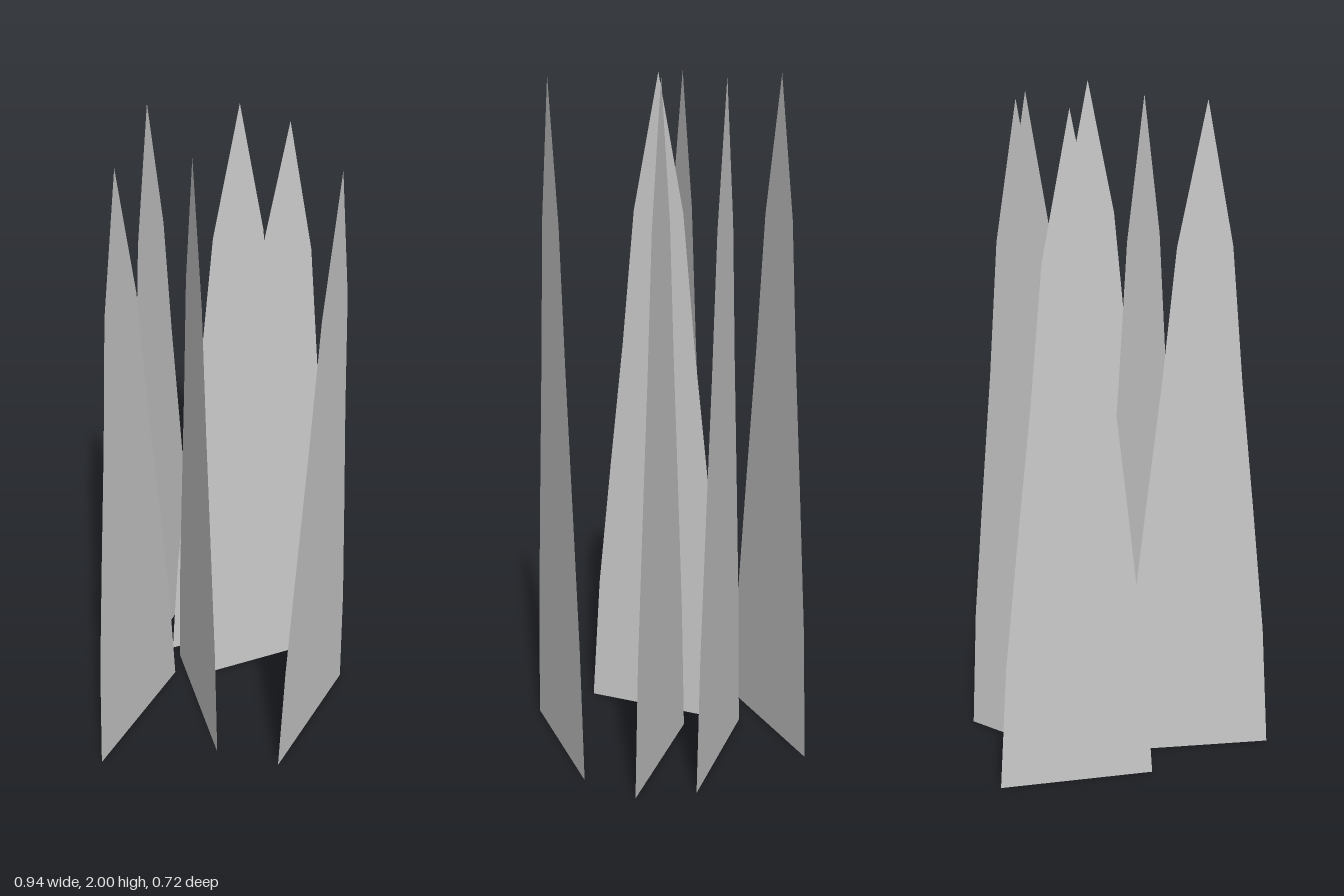
import * as THREE from 'three';

const HALF_WIDTH = 0.232;
const HEIGHT = 2;
// Half-width of a blade, as a share of the base, at even steps of height
const TAPER = [1, 0.886, 0.7, 0.505, 0.34, 0];

// Flat, tapering blade outline standing on y = 0
function bladeGeometry() {
  const side = TAPER.map((t, i) => new THREE.Vector2(t * HALF_WIDTH, (i / (TAPER.length - 1)) * HEIGHT));
  const mirrored = side.slice(0, -1).reverse().map((p) => new THREE.Vector2(-p.x, p.y));
  return new THREE.ShapeGeometry(new THREE.Shape([...side, ...mirrored]));
}

// Position and turn about the vertical of each blade
const BLADES = [
  { x: 0.09, z: 0.338, turn: 0.117 },
  { x: 0.26, z: 0.065, turn: -0.57 },
  { x: 0.275, z: -0.112, turn: -0.57 },
  { x: -0.072, z: -0.012, turn: 0.923 },
  { x: -0.24, z: -0.13, turn: 0.117 },
  { x: 0.125, z: -0.317, turn: 0.183 },
];

export function createModel() {
  const group = new THREE.Group();
  group.name = 'grassTuft';
  const geometry = bladeGeometry();
  const material = new THREE.MeshStandardMaterial({ color: 0xcccccc, side: THREE.DoubleSide, flatShading: true });
  BLADES.forEach(({ x, z, turn }, i) => {
    const blade = new THREE.Mesh(geometry, material);
    blade.name = `grassBlade${i + 1}`;
    blade.position.set(x, 0, z);
    blade.rotation.y = turn;
    group.add(blade);
  });
  return group;
}
